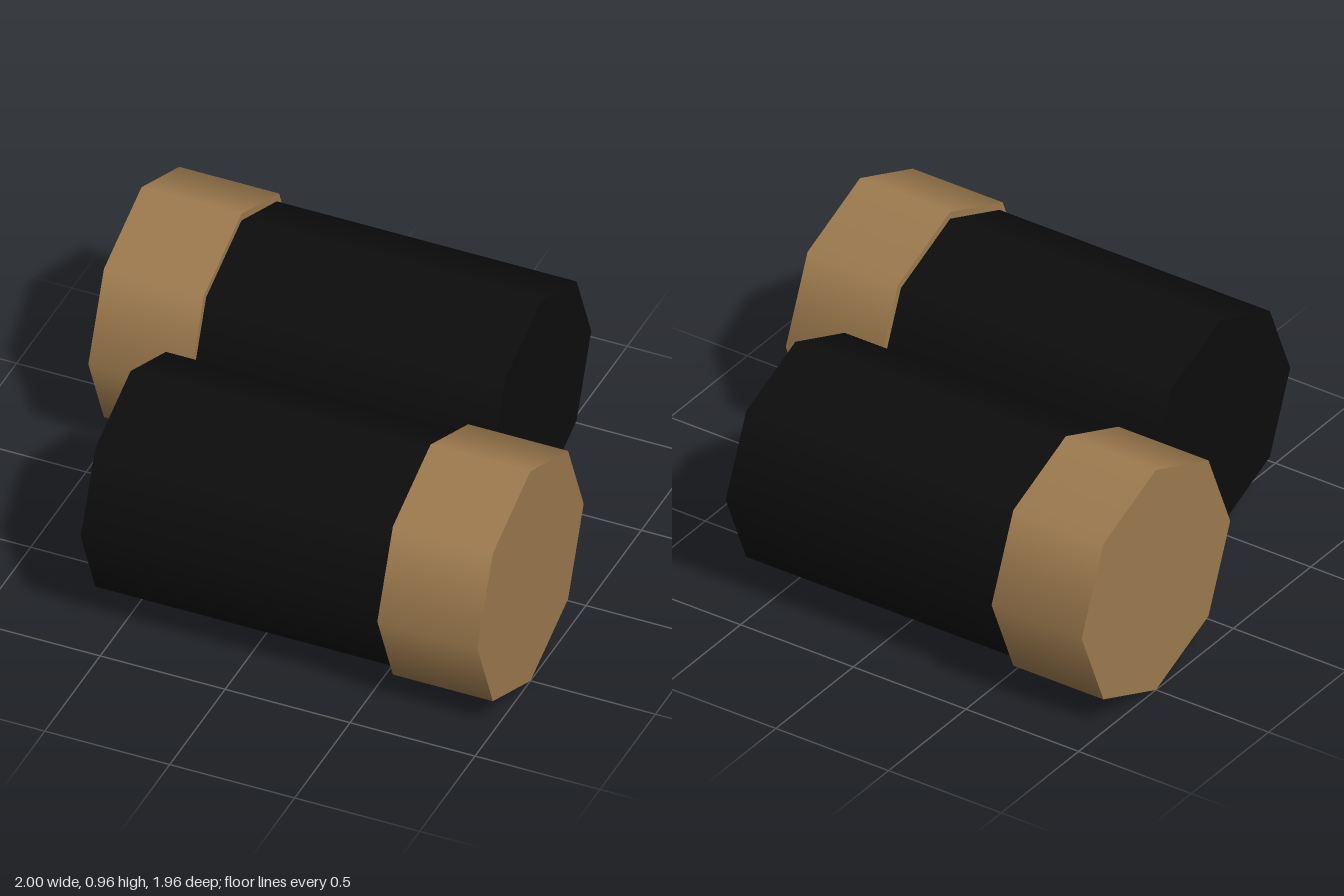
import * as THREE from 'three';

export function createModel() {
  const model = new THREE.Group();
  model.name = 'cellPair';

  const black = new THREE.MeshStandardMaterial({ color: 0x0d0d0d });
  black.name = 'black casing';
  const copper = new THREE.MeshStandardMaterial({ color: 0x9e7b4f });
  copper.name = 'copper cap';

  // Smooth-shaded eight-sided cylinder lying along x
  const barrel = (name, radius, length, x, material) => {
    const geometry = new THREE.CylinderGeometry(radius, radius, length, 8);
    geometry.rotateZ(-Math.PI / 2);
    const mesh = new THREE.Mesh(geometry, material);
    mesh.name = name;
    mesh.position.x = x;
    return mesh;
  };

  // Two cells side by side, facing opposite ways
  for (const side of [1, -1]) {
    const cell = new THREE.Group();
    cell.name = side > 0 ? 'frontCell' : 'backCell';
    cell.position.set(0, 0.48, side * 0.5);
    cell.add(barrel('casing', 0.45, 1.2, 0, black));
    cell.add(barrel('endCap', 0.48, 0.4, side * 0.8, copper));
    model.add(cell);
  }

  return model;
}
